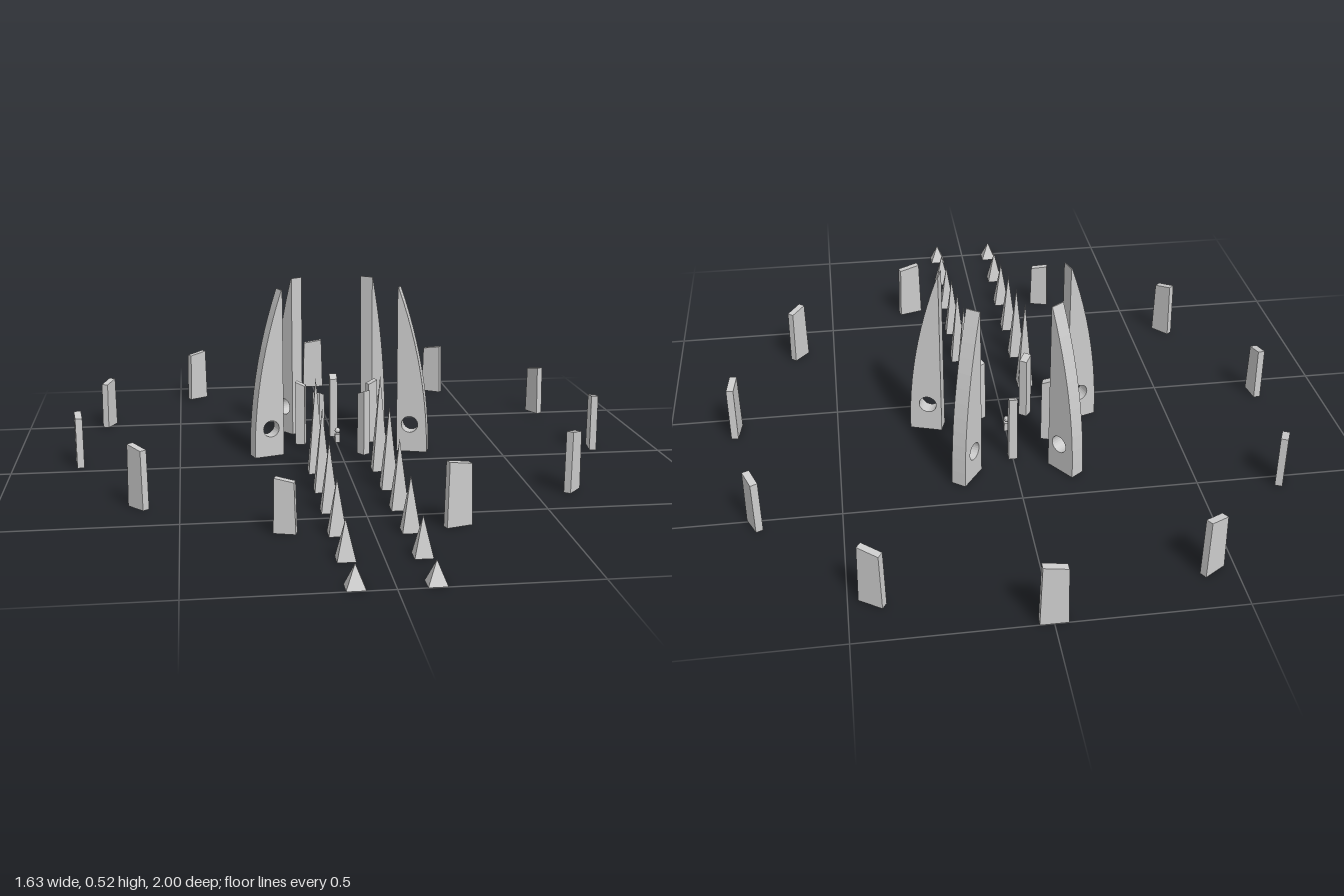
import * as THREE from 'three';

const mat = new THREE.MeshStandardMaterial({ color: 0xcccccc, flatShading: true });
const CENTRE_Z = -0.18;

function add(parent, name, geometry) {
  const mesh = new THREE.Mesh(geometry, mat);
  mesh.name = name;
  parent.add(mesh);
  return mesh;
}

// Place a mesh on a ring around the centre; its local -z points outward
function placeOnRing(mesh, radius, angle) {
  mesh.position.set(radius * Math.sin(angle), 0, CENTRE_Z - radius * Math.cos(angle));
  mesh.rotation.y = -angle;
}

// Upright block, narrower at the top, whose top slopes along x and/or z
function stoneGeometry(w, h, d, taper, slopeX, slopeZ) {
  const g = new THREE.BoxGeometry(w, h, d).translate(0, h / 2, 0);
  const p = g.attributes.position;
  for (let i = 0; i < p.count; i++) {
    if (p.getY(i) < h / 2) continue;
    const sx = Math.sign(p.getX(i)), sz = Math.sign(p.getZ(i));
    p.setY(i, h - slopeX * (1 - sx) / 2 - slopeZ * (1 + sz) / 2);
    p.setX(i, p.getX(i) * taper);
  }
  g.computeVertexNormals();
  return g;
}

// Tall fin: straight inner edge, curved outer edge, round hole near the foot
function finGeometry(length, height, thickness) {
  const s = new THREE.Shape();
  s.moveTo(0, 0);
  s.lineTo(length, 0);
  s.quadraticCurveTo(length, height / 2, 0.003, height);
  s.lineTo(0, height);
  s.closePath();
  const hole = new THREE.Path();
  hole.absarc(0.041, 0.088, 0.026, 0, Math.PI * 2, true);
  s.holes.push(hole);
  return new THREE.ExtrudeGeometry(s, { depth: thickness, bevelEnabled: false, curveSegments: 12 })
    .translate(0, 0, -thickness / 2);
}

export function createModel() {
  const model = new THREE.Group();
  model.name = 'stoneCircle';

  // Outer ring of eleven slightly irregular stones
  const heights = [0.18, 0.173, 0.163, 0.175, 0.18, 0.18, 0.15, 0.178, 0.163, 0.157, 0.173];
  const widths = [0.074, 0.07, 0.062, 0.072, 0.064, 0.075, 0.06, 0.064, 0.062, 0.062, 0.07];
  const outer = new THREE.Group();
  outer.name = 'outerRing';
  model.add(outer);
  heights.forEach((h, i) => {
    const stone = add(outer, 'outerStone', stoneGeometry(widths[i], h, 0.021, 0.88, 0.01, 0));
    placeOnRing(stone, 0.81, (i * Math.PI * 2) / 11);
  });

  // Inner ring of five small pillars, tops rising outward
  const inner = new THREE.Group();
  inner.name = 'innerRing';
  model.add(inner);
  for (let i = 0; i < 5; i++) {
    const pillar = add(inner, 'innerPillar', stoneGeometry(0.026, 0.205, 0.03, 0.92, 0, 0.012));
    placeOnRing(pillar, 0.12, (i * Math.PI * 2) / 5);
  }

  // Four tall fins, leaving the front of the five-fold ring open
  const fins = new THREE.Group();
  fins.name = 'fins';
  model.add(fins);
  const finGeo = finGeometry(0.096, 0.52, 0.043);
  for (const deg of [36, 108, -36, -108]) {
    const a = THREE.MathUtils.degToRad(deg);
    const fin = add(fins, 'fin', finGeo);
    placeOnRing(fin, 0.194, a);
    fin.rotation.y = Math.PI / 2 - a;
  }

  // Small block and ball at the centre
  add(model, 'centreBlock', new THREE.BoxGeometry(0.016, 0.026, 0.016)).position.set(0, 0.025, CENTRE_Z);
  add(model, 'centreBall', new THREE.SphereGeometry(0.009, 12, 8)).position.set(0, 0.05, CENTRE_Z);

  // Avenue: two rows of pyramids growing toward the centre
  const avenue = new THREE.Group();
  avenue.name = 'avenue';
  model.add(avenue);
  for (let i = 0; i < 6; i++) {
    const h = 0.06 + i * 0.046;
    const geo = new THREE.ConeGeometry(0.024 * Math.SQRT2, h, 4).rotateY(Math.PI / 4);
    for (const side of [-1, 1]) {
      add(avenue, 'pyramid', geo).position.set(side * 0.096, h / 2, 0.976 - i * 0.1776);
    }
  }
  return model;
}
